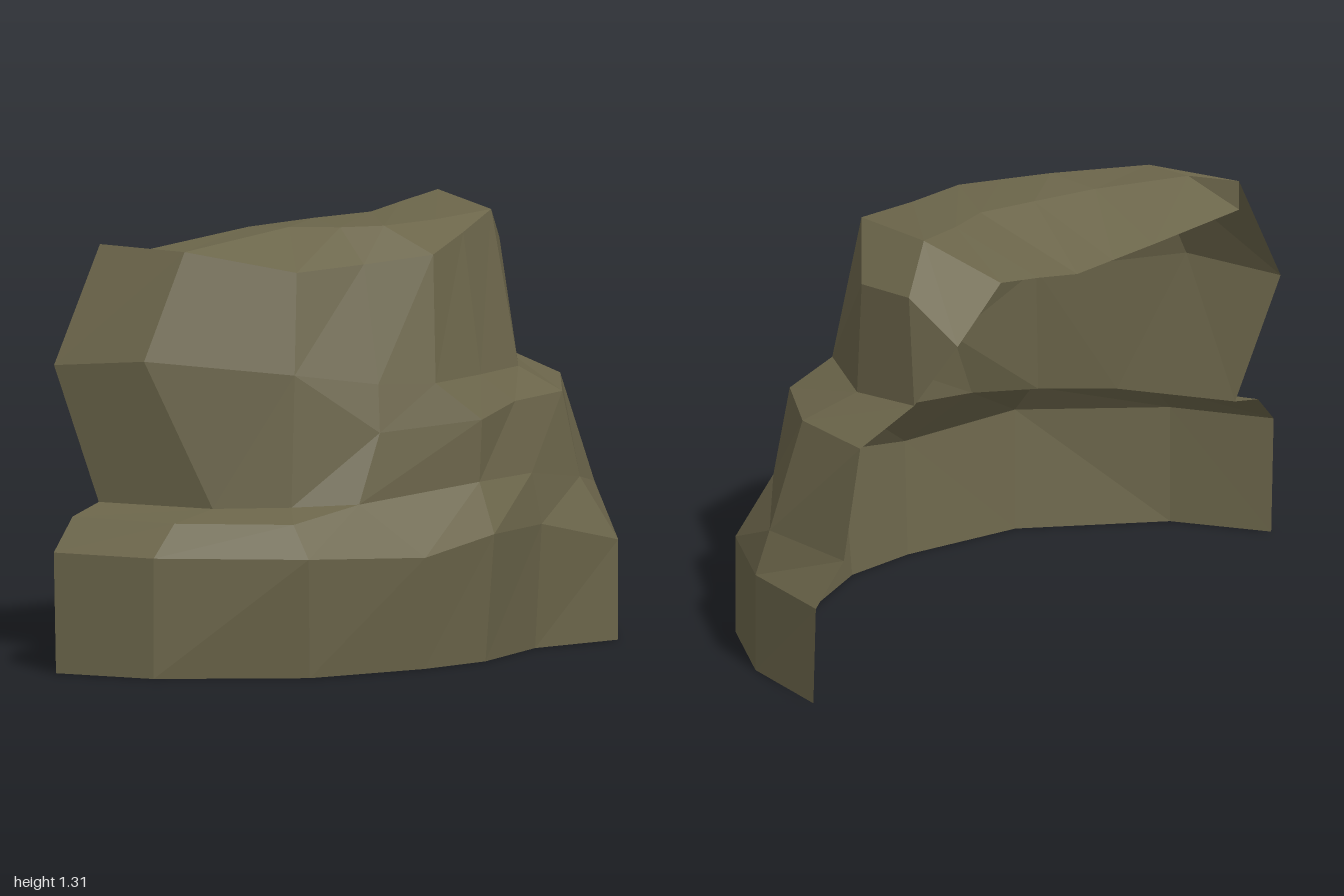
import * as THREE from 'three';

// Cross-sections run from the -x back edge round the front to the +x back edge.
const footRows = [
  [[-1, 0, -.23], [-.86, 0, .05], [-.5, 0, .34], [-.12, 0, .42], [.12, 0, .42], [.41, 0, .31], [.71, 0, .34], [.91, 0, .07], [1, 0, -.25]],
  [[-1, .36, -.24], [-.86, .36, .05], [-.53, .36, .37], [-.15, .34, .46], [.12, .385, .46], [.41, .375, .34], [.71, .3, .34], [.91, .3, .07], [1, .3, -.26]],
  [[-.9, .455, -.27], [-.77, .455, .04], [-.52, .455, .29], [-.28, .495, .31], [.14, .53, .37], [.38, .53, .33], [.62, .49, .27], [.86, .43, .06], [.9, .43, -.28]],
  [[-.78, .485, -.29], [-.62, .485, .04], [-.45, .49, .2], [-.28, .495, .31], [.14, .53, .37], [.38, .53, .33], [.62, .49, .27], [.86, .43, .06], [.9, .43, -.28]],
];
const wallRows = [
  footRows[3],
  [[-.86, .89, -.4], [-.75, .92, -.12], [-.42, .88, .18], [-.19, .7, .3], [.15, .715, .37], [.34, .745, .3], [.56, .75, .26], [.76, .76, .02], [.84, .77, -.29]],
  [[-.86, .89, -.4], [-.75, .92, -.12], [-.42, .88, .18], [-.17, .84, .27], [.02, .83, .31], [.24, .83, .26], [.44, .83, .2], [.62, .835, -.07], [.66, .87, -.34]],
  [[-.68, 1.235, -.4], [-.6, 1.235, -.11], [-.36, 1.175, .12], [-.14, 1.185, .17], [.08, 1.2, .23], [.25, 1.245, .17], [.42, 1.29, .1], [.6, 1.17, -.07], [.63, 1.19, -.29]],
];
const crownRows = [
  wallRows[3],
  [[-.68, 1.235, -.4], [-.6, 1.235, -.11], [-.25, 1.285, -.04], [-.12, 1.28, .04], [0, 1.28, .1], [.2, 1.28, .1], [.42, 1.29, .1], [.48, 1.31, -.21], [.48, 1.31, -.21]],
  [[-.68, 1.235, -.4], [-.62, 1.23, -.25], [-.27, 1.27, -.2], [-.05, 1.28, -.16], [.14, 1.285, -.12], [.3, 1.295, -.17], [.48, 1.31, -.21], [.48, 1.31, -.21], [.63, 1.19, -.29]],
  [[-.68, 1.235, -.4], [-.67, 1.15, -.41], [-.3, 1.14, -.41], [-.12, 1.14, -.415], [.04, 1.14, -.42], [.2, 1.17, -.415], [.36, 1.195, -.41], [.36, 1.195, -.41], [.6, 1.07, -.46]],
];
// Small triangle closing the overhang at the back of the +x side
const cornerRows = [
  [[.66, .87, -.34], [.6, 1.07, -.46]],
  [[.63, 1.19, -.29], [.6, 1.07, -.46]],
];

// Joins successive cross-sections into facets, skipping collapsed triangles
function loft(rows) {
  const out = [];
  const tri = (...pts) => {
    const [a, b, c] = pts.map(p => new THREE.Vector3(...p));
    if (new THREE.Triangle(a, b, c).getArea() > 1e-5) out.push(...pts.flat());
  };
  for (let r = 0; r < rows.length - 1; r++) {
    for (let i = 0; i < rows[r].length - 1; i++) {
      const a = rows[r][i], b = rows[r][i + 1], c = rows[r + 1][i + 1], d = rows[r + 1][i];
      tri(a, b, c);
      tri(a, c, d);
    }
  }
  const geometry = new THREE.BufferGeometry();
  geometry.setAttribute('position', new THREE.Float32BufferAttribute(out, 3));
  geometry.computeVertexNormals();
  return geometry;
}

export function createModel() {
  const group = new THREE.Group();
  group.name = 'steppedRock';
  const stone = new THREE.MeshStandardMaterial({ color: 0x6b654a, flatShading: true, side: THREE.DoubleSide });
  stone.name = 'olive stone';
  const parts = { rockFoot: footRows, rockWall: wallRows, rockCrown: crownRows, rockBackCorner: cornerRows };
  for (const [name, rows] of Object.entries(parts)) {
    const mesh = new THREE.Mesh(loft(rows), stone);
    mesh.name = name;
    group.add(mesh);
  }
  return group;
}
